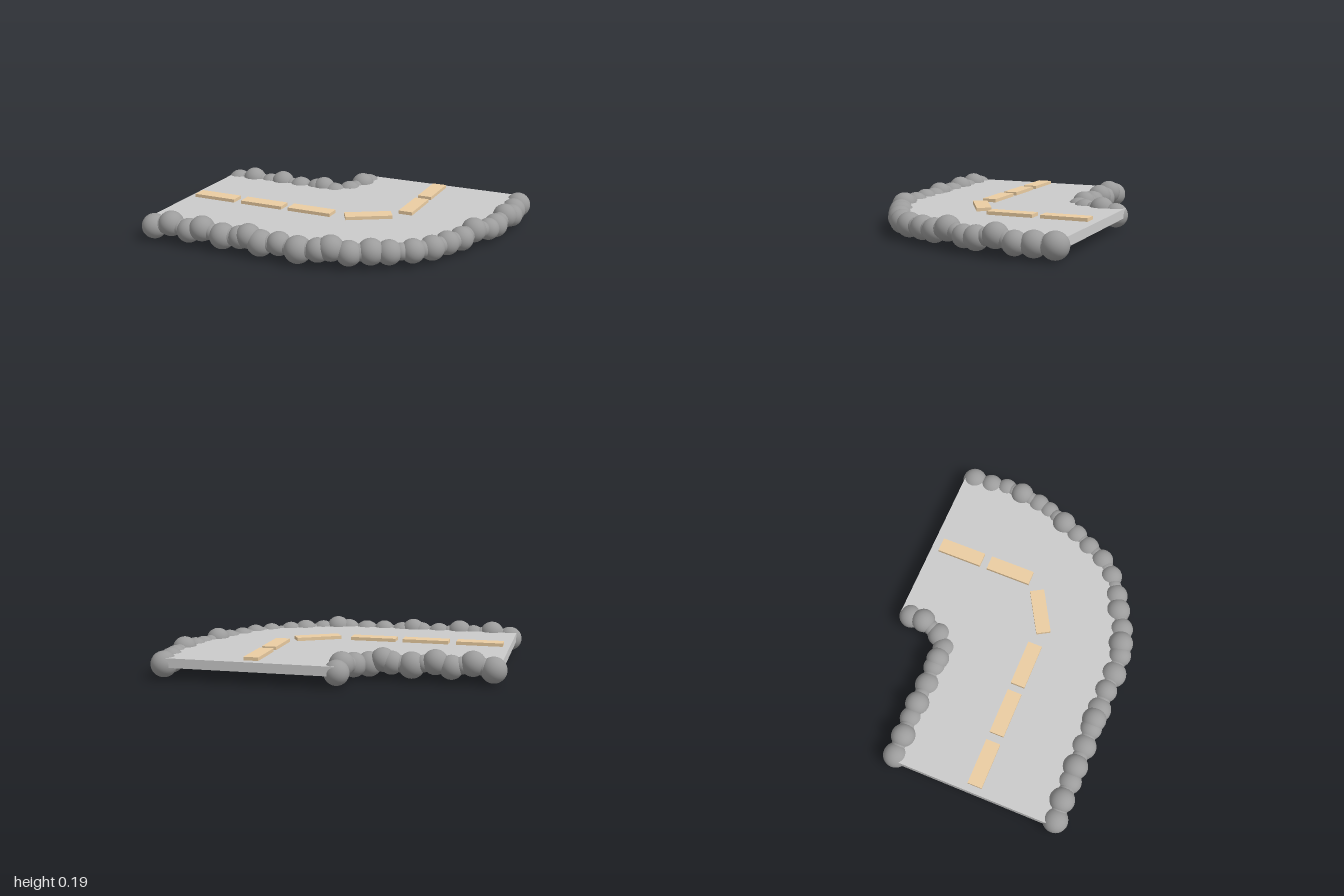
import * as THREE from 'three';

// Bend of road on a thin slab, edged with round stones and marked with dashes
export function createModel() {
  const group = new THREE.Group();
  group.name = 'roadBend';
  const roadMat = new THREE.MeshStandardMaterial({ color: 0xcccccc });
  const stoneMat = new THREE.MeshStandardMaterial({ color: 0x9c9c9c });
  const dashMat = new THREE.MeshStandardMaterial({ color: 0xebcda2 });

  // Road slab: plan outline drawn with shape y = -z
  const bottom = 0.075, top = 0.13;
  const plan = new THREE.Shape();
  plan.moveTo(-0.97, -0.63);
  plan.lineTo(0.1, -0.63);
  plan.splineThru([[0.3, -0.58], [0.5, -0.475], [0.69, -0.31], [0.83, 0], [0.9, 0.2], [0.92, 0.4]]
    .map(([x, y]) => new THREE.Vector2(x, y)));
  plan.lineTo(0.92, 0.7);
  plan.lineTo(-0.1, 0.7);
  plan.lineTo(-0.1, 0.55);
  plan.quadraticCurveTo(-0.12, 0.37, -0.3, 0.37);
  plan.lineTo(-0.97, 0.37);
  plan.closePath();
  const slabGeo = new THREE.ExtrudeGeometry(plan, { depth: top - bottom, bevelEnabled: false, curveSegments: 16 });
  slabGeo.rotateX(-Math.PI / 2);
  const slab = new THREE.Mesh(slabGeo, roadMat);
  slab.position.y = bottom;
  slab.name = 'roadSlab';
  group.add(slab);

  // Border stones: [x, z, height of centre, radius]
  const low = 0.09, high = 0.115;
  const outer = [
    [-0.925, 0.635, 0.085, 0.075], [-0.81, 0.63, high, 0.075], [-0.69, 0.63, low, 0.072],
    [-0.6, 0.63, high, 0.075], [-0.465, 0.63, low, 0.077], [-0.35, 0.63, 0.1, 0.068],
    [-0.295, 0.63, high, 0.073], [-0.22, 0.63, 0.085, 0.078], [-0.1, 0.63, 0.1, 0.07],
    [0.02, 0.635, 0.085, 0.08], [0.14, 0.63, 0.1, 0.07], [0.21, 0.61, high, 0.075],
    [0.305, 0.58, low, 0.073], [0.41, 0.52, 0.095, 0.076], [0.5, 0.475, low, 0.072],
    [0.61, 0.4, low, 0.07], [0.69, 0.31, low, 0.072], [0.74, 0.2, low, 0.07],
    [0.79, 0.1, low, 0.07], [0.83, 0, high, 0.072], [0.88, -0.12, low, 0.065],
    [0.9, -0.2, low, 0.07], [0.92, -0.32, high, 0.071], [0.93, -0.43, 0.085, 0.068],
    [0.915, -0.53, 0.085, 0.073], [0.912, -0.645, 0.085, 0.076],
  ];
  const inner = [
    [-0.925, -0.365, 0.085, 0.075], [-0.81, -0.365, high, 0.073], [-0.69, -0.37, low, 0.07],
    [-0.6, -0.37, high, 0.073], [-0.465, -0.365, low, 0.077], [-0.35, -0.37, 0.1, 0.068],
    [-0.3, -0.37, high, 0.07], [-0.22, -0.365, 0.085, 0.073], [-0.145, -0.43, low, 0.072],
    [-0.105, -0.55, high, 0.072], [-0.098, -0.64, 0.085, 0.072],
  ];
  const stoneGeo = new THREE.SphereGeometry(1, 32, 20);
  const addBorder = (name, stones) => {
    const border = new THREE.Group();
    border.name = name;
    for (const [x, z, y, r] of stones) {
      const stone = new THREE.Mesh(stoneGeo, stoneMat);
      stone.name = 'borderStone';
      stone.position.set(x, Math.max(y, r), z);
      stone.scale.setScalar(r);
      border.add(stone);
    }
    // Smaller stones fill the narrow gaps
    for (let i = 1; i < stones.length; i++) {
      const [a, b] = [stones[i - 1], stones[i]];
      const filler = new THREE.Mesh(stoneGeo, stoneMat);
      filler.name = 'fillerStone';
      filler.position.set((a[0] + b[0]) / 2, (a[2] + b[2]) / 2, (a[1] + b[1]) / 2);
      filler.scale.setScalar(0.05);
      border.add(filler);
    }
    group.add(border);
  };
  addBorder('outerBorder', outer);
  addBorder('innerBorder', inner);

  // Centre line dashes: [x, z, turn]
  const dashGeo = new THREE.BoxGeometry(0.278, 0.025, 0.087);
  for (const [x, z, turn] of [
    [-0.79, 0.138, 0], [-0.463, 0.138, 0], [-0.14, 0.138, 0],
    [0.208, 0.088, Math.PI / 6], [0.39, -0.185, Math.PI / 2], [0.39, -0.51, Math.PI / 2],
  ]) {
    const dash = new THREE.Mesh(dashGeo, dashMat);
    dash.name = 'laneDash';
    dash.position.set(x, top + 0.0075, z);
    dash.rotation.y = turn;
    group.add(dash);
  }
  return group;
}
